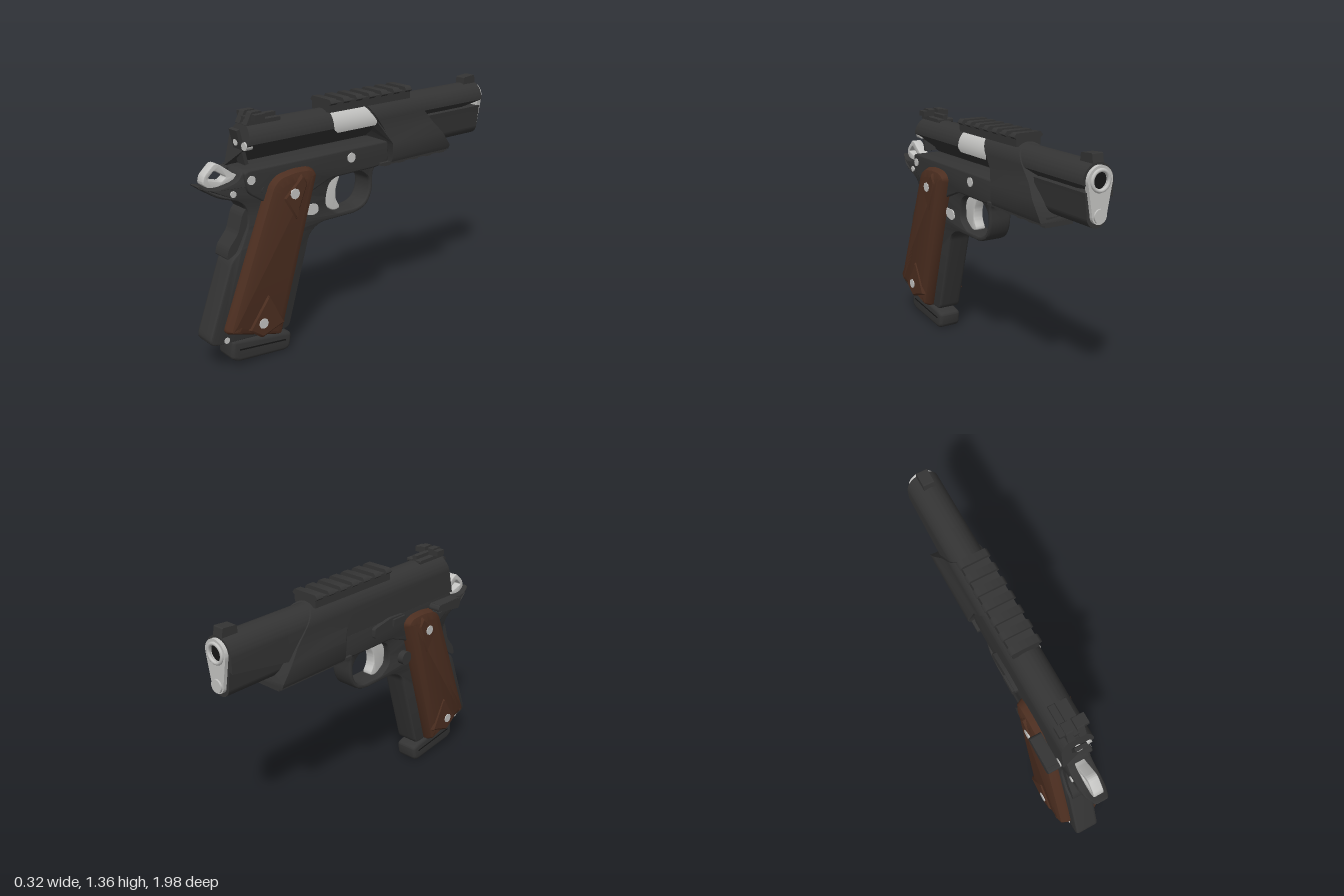
import * as THREE from 'three';
import { toCreasedNormals } from 'three/addons/utils/BufferGeometryUtils.js';

const mat = (name, color) => {
  const m = new THREE.MeshStandardMaterial({ color });
  m.name = name;
  return m;
};

// Closed outline with softened corners
function rounded(pts, r, Type = THREE.Shape) {
  const path = new Type();
  const n = pts.length;
  pts.forEach((p, i) => {
    const c = new THREE.Vector2(...p);
    const toward = (q) => {
      const v = new THREE.Vector2(...q).sub(c);
      const len = v.length();
      return v.multiplyScalar(Math.min(r, len * 0.45) / len).add(c);
    };
    const a = toward(pts[(i + n - 1) % n]), b = toward(pts[(i + 1) % n]);
    if (i === 0) path.moveTo(a.x, a.y); else path.lineTo(a.x, a.y);
    path.quadraticCurveTo(c.x, c.y, b.x, b.y);
  });
  path.closePath();
  return path;
}

// Move every vertex by a rule
function bend(geo, rule) {
  const p = geo.attributes.position;
  const v = new THREE.Vector3();
  for (let i = 0; i < p.count; i++) {
    v.fromBufferAttribute(p, i);
    rule(v);
    p.setXYZ(i, v.x, v.y, v.z);
  }
  return geo;
}
const crease = (geo) => toCreasedNormals(geo, 0.6);

// Side outline (z, y) thickened evenly about x = 0
function sideGeo(shape, half, bevel = 0, bevelDepth = bevel, segments = 3) {
  const depth = 2 * (half - bevelDepth);
  return new THREE.ExtrudeGeometry(shape, {
    depth, curveSegments: 6, bevelEnabled: bevel > 0, bevelSize: bevel,
    bevelOffset: -bevel, bevelThickness: bevelDepth, bevelSegments: segments,
  }).translate(0, 0, -depth / 2).rotateY(-Math.PI / 2);
}

// Cross-section (x, y) run from z0 back to z1
function runGeo(shape, z0, z1) {
  return new THREE.ExtrudeGeometry(shape, { depth: z1 - z0, bevelEnabled: false, curveSegments: 20 })
    .translate(0, 0, z0);
}

// Arched section: straight sides under a rounded top
function arch(half, top, lower) {
  const s = new THREE.Shape();
  lower.forEach(([x, y], i) => (i ? s.lineTo(x, y) : s.moveTo(x, y)));
  s.absellipse(0, 1.21, half, top - 1.21, 0, Math.PI, false, 0);
  [...lower].reverse().forEach(([x, y]) => s.lineTo(-x, y));
  return s;
}

export function createModel() {
  const dark = mat('darkSteel', 0x343434);
  const steel = mat('brightSteel', 0xc4c4c2);
  const wood = mat('brownWood', 0x4c2e20);
  const black = mat('boreBlack', 0x161616);

  const model = new THREE.Group();
  model.name = 'pistol';
  const body = new THREE.Group();
  body.name = 'body';
  body.position.x = 0.008;
  model.add(body);

  const add = (name, geo, material, x = 0, y = 0, z = 0) => {
    const m = new THREE.Mesh(geo, material);
    m.name = name;
    m.position.set(x, y, z);
    body.add(m);
    return m;
  };
  const box = (name, w, h, d, x, y, z, material = dark) =>
    add(name, new THREE.BoxGeometry(w, h, d), material, x, y, z);
  const crossPin = (name, z, y, r, x0, x1, material = steel, sides = 16) =>
    add(name, new THREE.CylinderGeometry(r, r, Math.abs(x1 - x0), sides).rotateZ(Math.PI / 2),
      material, (x0 + x1) / 2, y, z);
  const rod = (name, x, y, r, z0, z1, material) =>
    add(name, new THREE.CylinderGeometry(r, r, z1 - z0, 20).rotateX(Math.PI / 2),
      material, x, y, (z0 + z1) / 2);

  // Frame with trigger guard, grip core and tapering tail
  const outline = rounded([[1, 1.045], [0.89, 1.01], [0.77, 1.03], [0.74, 1.08], [-0.21, 1.08],
    [-0.21, 0.96], [-0.125, 0.93], [-0.125, 0.81], [-0.09, 0.73], [-0.015, 0.695], [0.25, 0.695],
    [0.325, 0.65], [0.475, 0.13], [0.955, 0.17], [0.98, 0.2], [0.825, 0.62], [0.775, 0.65],
    [0.715, 0.785], [0.715, 0.865], [0.76, 0.92], [0.89, 0.965]], 0.04);
  outline.holes.push(rounded([[0.21, 0.84], [0.185, 0.91], [0.12, 0.935], [-0.04, 0.93],
    [-0.1, 0.88], [-0.1, 0.81], [-0.07, 0.75], [-0.015, 0.725], [0.14, 0.725], [0.21, 0.775]],
    0.03, THREE.Path));
  add('frame', crease(bend(sideGeo(outline, 0.068, 0.01, 0.015), (v) => {
    if (v.y > 0.9 && v.z > 0.85) v.x *= Math.sqrt(Math.max(0.08, 1 - ((v.z - 0.85) / 0.155) ** 2));
  })), dark);
  add('upperFrame', crease(sideGeo(rounded([[0.745, 1.08], [-0.22, 1.08], [-0.22, 0.955],
    [-0.12, 0.94], [0.2, 0.94], [0.35, 0.88], [0.6, 0.88], [0.72, 0.96]], 0.03), 0.088, 0.008)), dark);
  add('gripSafety', crease(sideGeo(rounded([[0.7, 0.9], [0.72, 0.78], [0.79, 0.65], [0.85, 0.62],
    [0.835, 0.68], [0.775, 0.75], [0.745, 0.85]], 0.02), 0.057)), dark);

  // Slide: main run with sloped back, and nose with rising lower edge
  const lower = [[0.092, 1.075]];
  add('slide', crease(bend(runGeo(arch(0.092, 1.31, lower), -0.6, 0.69), (v) => {
    if (v.z > 0) v.z += (1.31 - v.y) * 0.25;
  })), dark);
  add('slideNose', crease(bend(runGeo(arch(0.092, 1.31, lower), -0.97, -0.6), (v) => {
    if (v.z < -0.9 && v.y < 1.1) v.y += 0.06;
  })), dark);
  const keel = new THREE.Shape();
  keel.moveTo(0.075, 1.17);
  keel.lineTo(-0.075, 1.17);
  keel.absarc(0, 1.05, 0.06, Math.PI, 2 * Math.PI, false);
  keel.closePath();
  add('noseKeel', crease(runGeo(keel, -0.97, -0.55)), dark);

  // Wider shroud cut on a diagonal at both ends
  add('shroud', crease(bend(runGeo(arch(0.1, 1.318,
    [[0.115, 0.96], [0.125, 0.985], [0.125, 1.07], [0.104, 1.14]]), 0, 1), (v) => {
    const front = -0.39 - Math.min(0.285, (1.318 - v.y) * 0.9);
    const rear = Math.max(-0.22, -0.06 - (1.318 - v.y) * 0.7);
    v.z = v.z > 0.5 ? rear : front;
  })), dark);

  // Accessory rails above and below
  box('topRailBase', 0.15, 0.05, 0.58, 0, 1.32, -0.1);
  for (let i = 0; i < 7; i++) {
    add('topRailTooth', crease(runGeo(rounded([[-0.07, 1.33], [0.07, 1.33], [0.09, 1.345],
      [0.075, 1.365], [-0.075, 1.365], [-0.09, 1.345]], 0.003), -0.022, 0.022)), dark, 0, 0, 0.168 - i * 0.0895);
  }
  box('lowerRailBase', 0.15, 0.04, 0.54, 0, 0.965, -0.4);
  box('lowerRailLips', 0.21, 0.016, 0.52, 0, 0.954, -0.41);
  for (let i = 0; i < 5; i++) box('lowerRailTooth', 0.17, 0.025, 0.045, 0, 0.945, -0.217 - i * 0.108);

  // Sights
  add('frontSight', sideGeo(rounded([[-0.87, 1.3], [-0.875, 1.345], [-0.96, 1.352], [-0.97, 1.3]], 0.006), 0.032), dark);
  const rear = rounded([[0.7, 1.3], [0.665, 1.365], [0.605, 1.365], [0.605, 1.32], [0.49, 1.32], [0.49, 1.3]], 0.006);
  for (const s of [-1, 1]) {
    add('rearSightHalf', sideGeo(rear, 0.02), dark, s * 0.031);
    box('rearSightWing', 0.036, 0.03, 0.06, s * 0.064, 1.34, 0.635);
  }
  box('rearSightFloor', 0.03, 0.045, 0.19, 0, 1.318, 0.59);

  // Barrel seen through the ejection opening
  const port = new THREE.CylinderGeometry(1, 1, 1, 24, 1, true, 0, Math.PI * 0.66)
    .rotateX(Math.PI / 2);
  add('chamber', bend(port, (v) => {
    const t = Math.atan2(v.y, v.x), back = v.z > 0;
    const a = -0.25 + ((t + Math.PI * 0.5) / (Math.PI * 0.66)) * 1.9;
    v.set(Math.cos(a) * 0.0955, 1.21 + Math.sin(a) * 0.1035, 0);
    const corner = Math.max(0, 1.205 - v.y) * 1.2;
    v.z = back ? 0.175 - corner : -0.05 - (1.314 - v.y) * 0.72 + corner;
  }), steel).geometry.computeVertexNormals();
  steel.side = THREE.DoubleSide;

  // Muzzle: bushing, bore and spring plug
  const bushing = new THREE.Shape();
  bushing.absarc(0, 1.225, 0.073, -0.3, Math.PI + 0.3, false);
  bushing.absarc(0, 1.055, 0.043, Math.PI, 2 * Math.PI, false);
  const bore = new THREE.Path();
  bore.absarc(0, 1.225, 0.045, 0, Math.PI * 2, true);
  bushing.holes.push(bore);
  add('bushing', crease(runGeo(bushing, -0.99, -0.96)), steel);
  rod('bore', 0, 1.225, 0.046, -0.975, -0.95, black);
  add('barrelRim', new THREE.TorusGeometry(0.05, 0.01, 8, 24), steel, 0, 1.225, -0.99);
  rod('springPlug', 0, 1.055, 0.036, -1, -0.96, steel);

  // Rear details: firing pin, extractor and pierced hammer
  box('firingPinPlate', 0.07, 0.19, 0.02, 0, 1.19, 0.715).rotation.x = 0.24;
  rod('firingPin', 0, 1.215, 0.018, 0.7, 0.735, steel);
  rod('extractor', 0.057, 1.2, 0.022, 0.68, 0.722, steel);
  const hammer = rounded([[0.95, 1.04], [0.94, 1.08], [0.88, 1.135], [0.855, 1.13], [0.77, 1.065],
    [0.72, 1.04], [0.74, 1.0], [0.9, 1.0]], 0.015);
  hammer.holes.push(rounded([[0.925, 1.06], [0.88, 1.1], [0.81, 1.055], [0.84, 1.035]], 0.012, THREE.Path));
  add('hammer', crease(sideGeo(hammer, 0.028, 0.004)), steel);

  // Trigger
  add('trigger', crease(sideGeo(rounded([[0.21, 0.88], [0.14, 0.94], [0.08, 0.93], [0.115, 0.85],
    [0.115, 0.79], [0.08, 0.735], [0.13, 0.725], [0.2, 0.77]], 0.025), 0.03, 0.005)), steel);

  // Grip panels with raised diamonds and screws
  const panel = rounded([[0.6, 0.99], [0.55, 1.03], [0.45, 1.045], [0.35, 1.04], [0.3, 1.005],
    [0.56, 0.13], [0.9, 0.235]], 0.03);
  const diamonds = [[[0.42, 1.02], [0.385, 0.965], [0.465, 0.775], [0.545, 0.91]],
    [[0.655, 0.41], [0.55, 0.22], [0.7, 0.17], [0.785, 0.235]]];
  const screws = [[0.475, 0.925], [0.695, 0.255]];
  for (const s of [-1, 1]) {
    add('gripPanel', crease(sideGeo(panel, 0.065, 0.055, 0.045, 2)), wood, s * 0.07);
    diamonds.forEach((d) => add('gripDiamond', crease(sideGeo(rounded(d, 0.01), 0.025, 0.012, 0.01, 1)), wood, s * 0.118));
    screws.forEach(([z, y]) => crossPin('gripScrew', z, y, 0.029, s * 0.1, s * 0.148, steel, 8));
    // Frame pins
    crossPin('safetyPin', 0.705, 1.03, 0.024, 0, s * 0.093);
    crossPin('gripSafetyPin', 0.8, 0.97, 0.017, 0, s * 0.071);
    crossPin('lowerPin', 0.878, 0.185, 0.017, 0, s * 0.071);
  }
  crossPin('slideStopPin', 0.053, 1.03, 0.027, 0, 0.094);
  crossPin('searPin', 0.63, 0.962, 0.016, 0, 0.092, dark);
  add('magazineCatch', crease(sideGeo(rounded([[0.375, 0.815], [0.28, 0.815], [0.265, 0.77],
    [0.3, 0.75], [0.36, 0.765]], 0.02), 0.03)), steel, 0.045);
  crossPin('magazineButton', 0.32, 0.785, 0.04, -0.105, 0, dark, 20);

  // Left-hand controls
  add('safetyLever', crease(sideGeo(rounded([[0.72, 1.0], [0.74, 1.06], [0.53, 1.065], [0.52, 1.03]], 0.015), 0.035)), dark, -0.133);
  for (let i = 0; i < 5; i++) box('safetyRidge', 0.06, 0.008, 0.17, -0.137, 1.062 - i * 0.011, 0.625);
  add('slideStop', crease(sideGeo(rounded([[0.28, 1.08], [0.28, 1.03], [0.16, 1.02], [0.03, 1.0],
    [0.03, 1.06], [0.16, 1.085]], 0.015), 0.014)), dark, -0.098);
  box('slideStopPad', 0.03, 0.04, 0.1, -0.11, 1.055, 0.225);

  // Magazine foot
  add('magazineFoot', crease(sideGeo(rounded([[0.84, 0.165], [0.85, 0.06], [0.81, 0.035], [0.5, 0.003],
    [0.47, 0.02], [0.46, 0.1], [0.5, 0.115]], 0.02), 0.07, 0.02)), dark);
  box('magazineFootSeam', 0.144, 0.008, 0.3, 0, 0.088, 0.655, black).rotation.x = -0.12;
  return model;
}
